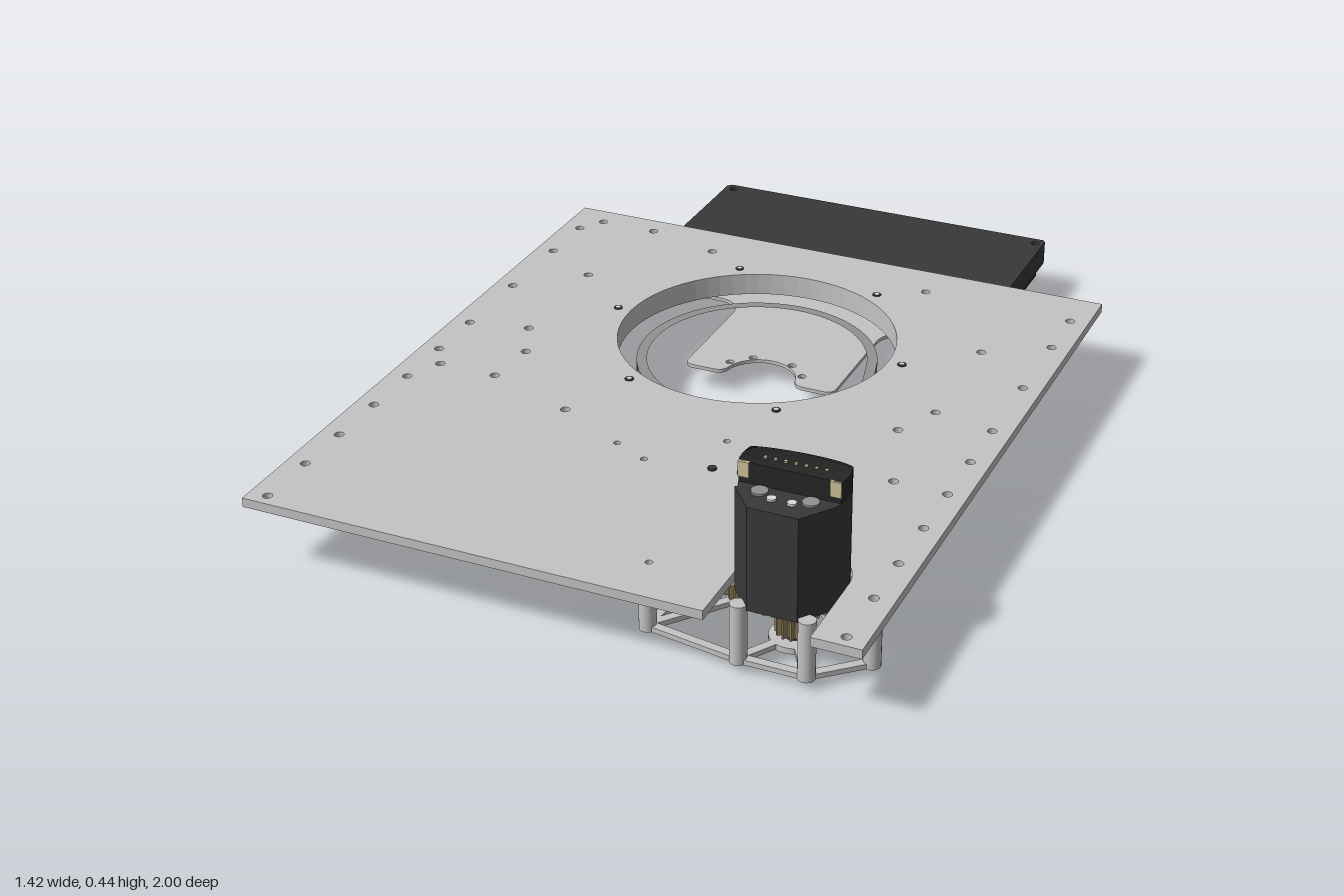
import * as THREE from 'three';

const mat = (name, color) => {
  const m = new THREE.MeshStandardMaterial({ color });
  m.name = name;
  return m;
};

export function createModel() {
  const root = new THREE.Group();
  const silver = mat('silver', 0xc4c4c4), grey = mat('beltGrey', 0x929292), dark = mat('charcoal', 0x383838);
  const black = mat('black', 0x262626), red = mat('red', 0xd40a0a), brass = mat('brass', 0x94845c);
  const pale = mat('paleGrey', 0xdcdcdc), tan = mat('tan', 0xcdbf98);

  const add = (name, geo, m, parent = root) => {
    const mesh = new THREE.Mesh(geo, m);
    mesh.name = name;
    parent.add(mesh);
    return mesh;
  };
  const group = (name) => {
    const g = new THREE.Group();
    g.name = name;
    root.add(g);
    return g;
  };
  // box given by its limits
  const box = (name, x0, x1, y0, y1, z0, z1, m, p) =>
    add(name, new THREE.BoxGeometry(x1 - x0, y1 - y0, z1 - z0)
      .translate((x0 + x1) / 2, (y0 + y1) / 2, (z0 + z1) / 2), m, p);
  // upright cylinder
  const rod = (name, x, z, r, y0, y1, m, p, n = 20) =>
    add(name, new THREE.CylinderGeometry(r, r, y1 - y0, n).translate(x, (y0 + y1) / 2, z), m, p);
  // horizontal slab from an (x, z) outline
  const slab = (name, shape, y0, y1, m, p, curveSegments = 24) =>
    add(name, new THREE.ExtrudeGeometry(shape, { depth: y1 - y0, bevelEnabled: false, curveSegments })
      .rotateX(Math.PI / 2).translate(0, y1, 0), m, p);
  const hole = (shape, x, z, r) => shape.holes.push(new THREE.Path().absarc(x, z, r, 0, Math.PI * 2, true));
  const annulus = (x, z, R, r) => {
    const s = new THREE.Shape().absarc(x, z, R, 0, Math.PI * 2, false);
    hole(s, x, z, r);
    return s;
  };
  const poly = (pts) => new THREE.Shape(pts.map(([x, z]) => new THREE.Vector2(x, z)));

  // Key positions: opening, gear, motor, idler
  const C = [0, -0.135], G = [0.41, 0.605], M = [0.485, 0.795], I = [0.241, 0.289];
  const ringBolts = [0, 1, 2, 3, 4, 5].map((i) => [0.37 * Math.cos(i * Math.PI / 3), C[1] + 0.37 * Math.sin(i * Math.PI / 3)]);

  // Main plate with motor slot, large opening and drilled holes
  const plate = new THREE.Shape();
  plate.moveTo(-0.71, -0.63).lineTo(0.71, -0.63).lineTo(0.71, 1).lineTo(0.6, 1).lineTo(0.6, M[1]);
  plate.absarc(M[0], M[1], 0.115, 0, -Math.PI, true);
  plate.lineTo(0.37, 1).lineTo(-0.71, 1).closePath();
  hole(plate, ...C, 0.335);
  const mirrored = [[0.29, -0.52], [0.52, -0.27], [0.52, 0.05], [0.47, 0.16], [0.255, 0.375],
    ...[-0.51, -0.36, -0.14, 0.08, 0.23, 0.38, 0.53, 0.68, 0.82, 0.97].map((z) => [0.665, z])];
  for (const [x, z] of mirrored) for (const s of [-1, 1]) hole(plate, s * x, z, 0.011);
  for (const [x, z] of [[-0.625, -0.57], [-0.48, -0.57], [-0.625, 0.295], [-0.48, 0.295], [0.54, 0.375]]) hole(plate, x, z, 0.011);
  for (const [x, z] of [[-0.08, 0.465], [0.005, 0.505], [0.14, 0.36], [0.195, 0.88]]) hole(plate, x, z, 0.008);
  slab('mainPlate', plate, 0.16, 0.182, silver, root, 32);

  // Ring under the opening, with bolt bosses
  const ring = group('bearingRing');
  slab('ringBody', annulus(...C, 0.362, 0.335), 0.127, 0.16, silver, ring, 32);
  for (const [x, z] of ringBolts) {
    rod('ringBoss', x, z, 0.025, 0.13, 0.16, silver, ring);
    rod('ringBolt', x, z, 0.011, 0.182, 0.184, dark, ring, 10);
    rod('ringBoltCore', x, z, 0.006, 0.184, 0.185, pale, ring, 10);
  }

  // Belt round the opening, past the idler and round the drive pulley
  const deg = Math.PI / 180, outer = [], inner = [];
  const wrap = ([x, z], r, a0, a1, n, side) => {
    for (let i = 0; i <= n; i++) {
      const a = (a0 + (a1 - a0) * i / n) * deg, q = r + side * 0.025;
      outer.push([x + r * Math.cos(a), z + r * Math.sin(a)]);
      inner.push([x + q * Math.cos(a), z + q * Math.sin(a)]);
    }
  };
  wrap(C, 0.29, -14.3, -251.4, 56, -1);
  wrap(I, 0.06, -71.4, -6, 10, 1);
  wrap(G, 0.075, 174, -14.3, 20, -1);
  const belt = poly(outer);
  belt.holes.push(new THREE.Path(inner.map(([x, z]) => new THREE.Vector2(x, z))));
  slab('belt', belt, 0.09, 0.125, grey);
  rod('idlerPulley', ...I, 0.059, 0.088, 0.127, silver);
  rod('idlerPost', ...I, 0.015, 0.07, 0.16, silver);

  // Gear train
  const toothed = (x, z, r, n) => {
    const pts = [];
    for (let i = 0; i < n * 4; i++) {
      const a = i / (n * 4) * Math.PI * 2, q = i % 4 < 2 ? r : r - 0.013;
      pts.push([x + q * Math.cos(a), z + q * Math.sin(a)]);
    }
    return poly(pts);
  };
  const gears = group('gearTrain');
  const big = toothed(...G, 0.172, 56);
  hole(big, ...G, 0.03);
  slab('largeGear', big, 0.045, 0.078, brass, gears);
  slab('pinion', toothed(...M, 0.042, 14), 0.04, 0.088, brass, gears);
  rod('drivePulley', ...G, 0.05, 0.08, 0.135, grey, gears);
  rod('gearShaft', ...G, 0.022, 0.012, 0.186, silver, gears);
  rod('motorShaft', ...M, 0.015, 0.01, 0.16, dark, gears);
  rod('motorCollar', ...M, 0.03, 0.092, 0.14, red, gears);
  slab('upperBearing', annulus(...G, 0.055, 0.038), 0.182, 0.187, tan, gears);
  slab('bearingInner', annulus(...G, 0.038, 0.022), 0.182, 0.185, pale, gears);

  // Truss bracket hanging below the gears
  const truss = group('gearBracket');
  const nodes = [[0.19, 0.88], [0.41, 0.915], [0.56, 0.915], [0.665, 0.82], [0.54, 0.375], [0.255, 0.375]];
  const bar = (a, b) => {
    const dx = b[0] - a[0], dz = b[1] - a[1];
    const mesh = add('trussBar', new THREE.BoxGeometry(Math.hypot(dx, dz), 0.012, 0.02), silver, truss);
    mesh.position.set((a[0] + b[0]) / 2, 0.026, (a[1] + b[1]) / 2);
    mesh.rotation.y = -Math.atan2(dz, dx);
  };
  const rim = ([cx, cz], [x, z], r) => {
    const d = Math.hypot(x - cx, z - cz);
    return [cx + (x - cx) * r / d, cz + (z - cz) * r / d];
  };
  nodes.forEach((n, i) => {
    bar(n, nodes[(i + 1) % nodes.length]);
    if (i === 1 || i === 2) bar(rim(M, n, 0.05), n);
    else bar(rim(G, n, 0.06), n);
    rod('bracketPost', ...n, 0.019, 0.02, 0.16, silver, truss);
  });
  bar(rim(G, M, 0.06), rim(M, G, 0.045));
  slab('gearBearingSeat', annulus(...G, 0.07, 0.035), 0.018, 0.032, silver, truss);
  slab('motorBearingSeat', annulus(...M, 0.055, 0.025), 0.018, 0.032, silver, truss);

  // Motor: round back, tapered front
  const motor = group('motor');
  const body = new THREE.Shape();
  body.moveTo(0.54, 0.92).lineTo(0.43, 0.92).lineTo(0.375, 0.855);
  body.absarc(M[0], 0.803, 0.115, 155 * deg, 385 * deg, false);
  body.closePath();
  slab('motorBody', body, 0.15, 0.392, dark, motor, 14);
  const cap = new THREE.Shape().absarc(M[0], 0.803, 0.115, 165 * deg, 375 * deg, false);
  cap.closePath();
  const capMesh = slab('motorCap', cap, 0.392, 0.44, black, motor, 20);
  const pos = capMesh.geometry.attributes.position;
  for (let i = 0; i < pos.count; i++)
    if (pos.getY(i) > 0.43) pos.setY(i, 0.44 - Math.max(0, 0.77 - pos.getZ(i)) * 0.5);
  capMesh.geometry.computeVertexNormals();
  for (const s of [-1, 1]) {
    box('capEnd', M[0] + s * 0.099 - 0.012, M[0] + s * 0.099 + 0.012, 0.405, 0.44, 0.829, 0.836, tan, motor);
    rod('terminal', M[0] + s * 0.055, 0.855, 0.018, 0.392, 0.397, grey, motor);
    rod('smallTerminal', M[0] + s * 0.022, 0.873, 0.01, 0.392, 0.397, pale, motor);
    rod('motorScrew', M[0] + s * 0.06, 0.795, 0.012, 0.13, 0.15, silver, motor);
  }
  for (let i = -3; i <= 3; i++) rod('contact', M[0] + i * 0.022, 0.8, 0.004, 0.438, 0.442, tan, motor, 8);

  // Tensioner cluster under the plate
  const tensioner = group('tensioner');
  box('tensionerArm', 0.06, 0.24, 0.135, 0.155, 0.45, 0.5, pale, tensioner);
  box('redBlock', 0.215, 0.245, 0.09, 0.135, 0.46, 0.5, red, tensioner);
  box('tensionerFoot', 0.05, 0.13, 0.1, 0.135, 0.42, 0.47, silver, tensioner);
  box('tensionerTab', 0.08, 0.2, 0.055, 0.065, 0.25, 0.37, silver, tensioner);
  rod('tensionerPost', 0.14, 0.36, 0.012, 0.055, 0.16, silver, tensioner);
  for (const [x, z] of [[0.16, 0.485], [0.225, 0.475]]) {
    rod('tensionerRod', x, z, 0.014, 0.08, 0.16, silver, tensioner);
    rod('tensionerScrew', x, z, 0.01, 0.182, 0.187, dark, tensioner);
  }

  // Flat carrier tongue with a rounded mouth
  const tongue = new THREE.Shape();
  tongue.moveTo(-0.42, -0.62).lineTo(0.42, -0.62).lineTo(0.42, -0.53).lineTo(0.38, -0.5).lineTo(0.25, -0.5);
  tongue.quadraticCurveTo(0.195, -0.49, 0.195, -0.43).lineTo(0.195, -0.165).quadraticCurveTo(0.195, -0.14, 0.17, -0.14);
  tongue.lineTo(0.12, -0.14).quadraticCurveTo(0.095, -0.14, 0.09, -0.16);
  tongue.absarc(0, -0.145, 0.09, -10 * deg, -170 * deg, true);
  tongue.quadraticCurveTo(-0.095, -0.14, -0.12, -0.14).lineTo(-0.17, -0.14).quadraticCurveTo(-0.195, -0.14, -0.195, -0.165);
  tongue.lineTo(-0.195, -0.43).quadraticCurveTo(-0.195, -0.49, -0.25, -0.5).lineTo(-0.38, -0.5).lineTo(-0.42, -0.53).closePath();
  for (const a of [30, 62, 118, 150]) hole(tongue, 0.11 * Math.cos(a * deg), -0.135 - 0.11 * Math.sin(a * deg), 0.01);
  slab('carrierTongue', tongue, 0.055, 0.064, silver);

  // Electronics box with rows of terminals underneath
  const unit = group('powerBox');
  const lid = poly([[-0.455, -0.99], [-0.445, -1], [0.445, -1], [0.452, -0.99], [0.452, -0.59], [-0.455, -0.59]]);
  for (const s of [-1, 1]) hole(lid, s * 0.43, -0.975, 0.01);
  slab('boxLid', lid, 0.085, 0.145, dark, unit);
  box('boxCore', -0.38, 0.38, 0.03, 0.085, -0.88, -0.65, black, unit);
  for (const s of [-1, 1]) {
    box('boxEnd', s * 0.4 - 0.045, s * 0.4 + 0.045, 0.065, 0.085, -0.95, -0.6, black, unit);
    for (const t of [-1, 1])
      add('endConnector', new THREE.CapsuleGeometry(0.028, 0.014, 4, 10)
        .translate(s * 0.4 + t * 0.028, 0.035, -0.67), black, unit);
    box('connectorBlock', s * 0.4 - 0.05, s * 0.4 + 0.05, 0.015, 0.066, -0.74, -0.6, black, unit);
  }
  // sloped red terminal strip along the back
  const slope = poly([[0.87, 0.085], [0.87, 0.02], [0.94, 0.02], [0.99, 0.055], [0.99, 0.085]]);
  add('backTerminalStrip', new THREE.ExtrudeGeometry(slope, { depth: 0.76, bevelEnabled: false })
    .rotateY(Math.PI / 2).translate(-0.38, 0, 0), red, unit);
  box('frontTerminalStrip', -0.33, 0.35, 0.022, 0.085, -0.65, -0.61, red, unit);
  box('frontStripRail', -0.33, 0.35, 0.048, 0.058, -0.61, -0.604, pale, unit);
  for (let i = 0; i < 12; i++) {
    const x = -0.3 + i * 0.0555;
    box('fuse', x - 0.02, x + 0.02, 0, 0.03, -0.85, -0.76, pale, unit);
    box('fuseTail', x - 0.012, x + 0.012, 0.003, 0.03, -0.74, -0.66, pale, unit);
    for (const y of [0.035, 0.073])
      box('terminalSlot', x - 0.012, x + 0.012, y - 0.008, y + 0.008, -0.61, -0.607, black, unit);
    box('backSlot', x - 0.012, x + 0.012, 0.06, 0.08, -0.993, -0.988, black, unit);
    box('terminalRib', x + 0.024, x + 0.031, 0.012, 0.022, -0.94, -0.88, black, unit);
  }
  return root;
}
